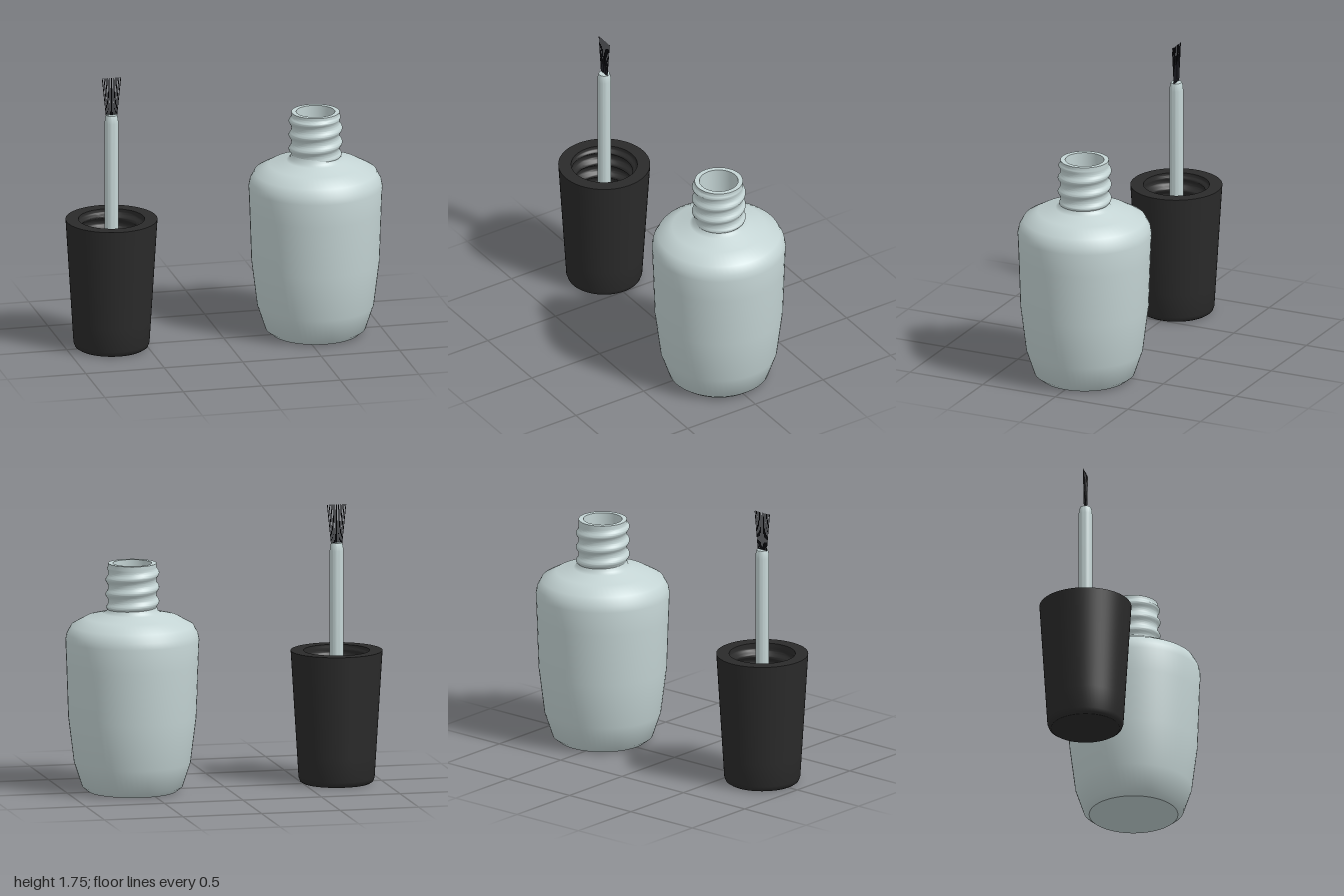
import * as THREE from 'three';
import { toCreasedNormals } from 'three/addons/utils/BufferGeometryUtils.js';

const SEGMENTS = 64;

// Revolved surface; points run bottom to top on outer walls, top to bottom on inner ones
function lathe(points, crease = 0.9) {
  const profile = points.map(([r, y]) => new THREE.Vector2(r, y));
  return toCreasedNormals(new THREE.LatheGeometry(profile, SEGMENTS), crease);
}

// Cylinder wall from yStart to yEnd carrying a helical ridge (negative height = inward)
function threadedWall(radius, yStart, yEnd, height, pitch, phaseY) {
  const rows = 56, points = [];
  for (let i = 0; i <= rows; i++) {
    points.push(new THREE.Vector2(radius, THREE.MathUtils.lerp(yStart, yEnd, i / rows)));
  }
  const g = new THREE.LatheGeometry(points, SEGMENTS);
  const p = g.attributes.position;
  const low = Math.min(yStart, yEnd), high = Math.max(yStart, yEnd);
  for (let i = 0; i < p.count; i++) {
    const x = p.getX(i), y = p.getY(i), z = p.getZ(i);
    const turn = Math.atan2(x, z) - 2 * Math.PI * (y - phaseY) / pitch;
    const fade = THREE.MathUtils.smoothstep(y, low, low + 0.03)
      * (1 - THREE.MathUtils.smoothstep(y, high - 0.045, high - 0.015));
    const ridge = height * fade * Math.pow(0.5 + 0.5 * Math.cos(turn), 1.5);
    const s = (radius + ridge) / radius;
    p.setXYZ(i, x * s, y, z * s);
  }
  return toCreasedNormals(g, 1.2);
}

export function createModel() {
  const glass = new THREE.MeshStandardMaterial({ color: 0xc4d4d4 });
  glass.name = 'pale grey green';
  const black = new THREE.MeshStandardMaterial({ color: 0x2a2a2a });
  black.name = 'cap black';
  const dark = new THREE.MeshStandardMaterial({ color: 0x1a1a20 });
  dark.name = 'bristle black';

  const add = (parent, name, geometry, material) => {
    const mesh = new THREE.Mesh(geometry, material);
    mesh.name = name;
    parent.add(mesh);
    return mesh;
  };

  const model = new THREE.Group();
  model.name = 'nailPolishSet';

  // Bottle
  const bottle = new THREE.Group();
  bottle.name = 'bottle';
  bottle.position.x = 0.585;
  model.add(bottle);
  add(bottle, 'bottleBase', lathe([[0, 0], [0.275, 0]]), glass);
  add(bottle, 'bottleBody', lathe([
    [0.275, 0], [0.312, 0.03], [0.362, 0.18], [0.398, 0.47], [0.409, 0.8], [0.415, 0.95],
    [0.407, 0.99], [0.38, 1.04], [0.29, 1.09], [0.18, 1.117], [0.16, 1.13], [0.15, 1.16],
  ], 1.1), glass);
  add(bottle, 'bottleNeck', threadedWall(0.15, 1.13, 1.43, 0.017, 0.09, 1.306), glass);
  add(bottle, 'bottleLip', lathe([[0.15, 1.43], [0.12, 1.43]]), glass);
  add(bottle, 'bottleInside', lathe([
    [0.12, 1.43], [0.12, 1.1], [0.28, 1.05], [0.36, 0.98], [0.37, 0.8], [0.36, 0.47],
    [0.325, 0.18], [0.26, 0.05], [0, 0.05],
  ]), glass);

  // Upturned cap
  const cap = new THREE.Group();
  cap.name = 'capWithBrush';
  cap.position.x = -0.715;
  model.add(cap);
  add(cap, 'capEnd', lathe([[0, 0], [0.212, 0]]), black);
  add(cap, 'capShell', lathe([
    [0.212, 0], [0.227, 0.01], [0.236, 0.035], [0.245, 0.18], [0.285, 0.83],
  ]), black);
  add(cap, 'capRim', lathe([[0.285, 0.83], [0.205, 0.83]]), black);
  add(cap, 'capBore', threadedWall(0.205, 0.83, 0.5, -0.03, 0.09, 0.65), black);
  add(cap, 'capFloor', lathe([[0.205, 0.5], [0, 0.5]]), black);

  // Brush stem
  add(cap, 'brushStem', lathe([
    [0.043, 0.5], [0.043, 1.455], [0.04, 1.485], [0.034, 1.505], [0, 1.505],
  ]), glass);

  // Flat fan of fine bristles
  const bristles = new THREE.Group();
  bristles.name = 'bristles';
  cap.add(bristles);
  const count = 11, up = new THREE.Vector3(0, 1, 0);
  for (let i = 0; i < count; i++) {
    const t = (i / (count - 1)) * 2 - 1;
    const from = new THREE.Vector3(t * 0.033, 1.495, 0);
    const to = new THREE.Vector3(t * 0.059, 1.745, 0);
    const span = to.clone().sub(from);
    const hair = add(bristles, 'bristle',
      new THREE.CylinderGeometry(0.0025, 0.0025, span.length(), 6), dark);
    hair.position.copy(from).add(to).multiplyScalar(0.5);
    hair.quaternion.setFromUnitVectors(up, span.normalize());
  }

  return model;
}
